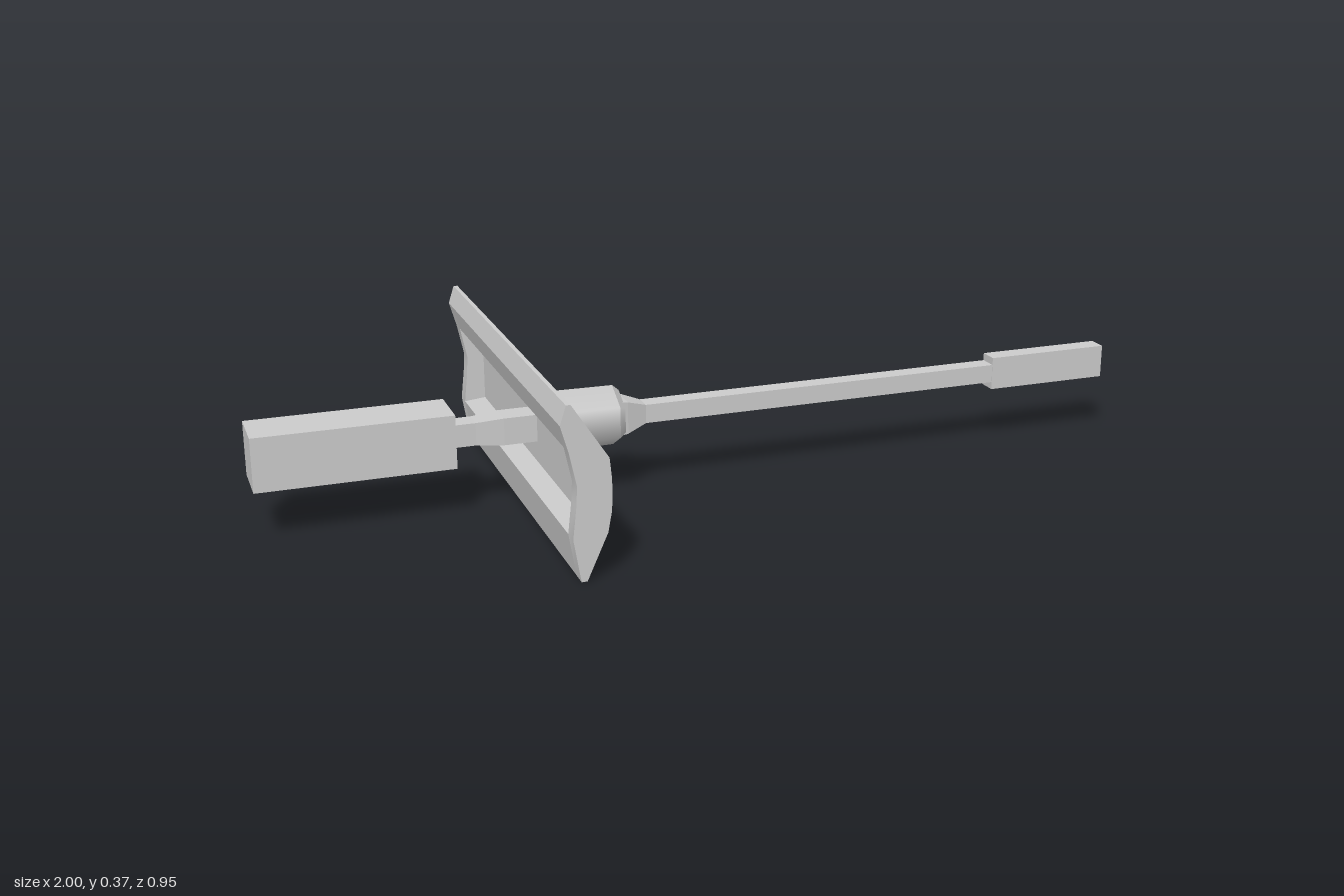
import * as THREE from 'three';
import { toCreasedNormals } from 'three/addons/utils/BufferGeometryUtils.js';

const material = new THREE.MeshStandardMaterial({ color: 0xcccccc });
const AXIS_Y = 0.172;
const AXIS_Z = 0.01;

function mesh(name, geometry, parent) {
  const m = new THREE.Mesh(geometry, material);
  m.name = name;
  parent.add(m);
  return m;
}

// Rectangular bar along x from sections [x, half height, half depth], flat faces
function bar(sections) {
  const rings = sections.map(([x, h, d]) => [[x, h, d], [x, -h, d], [x, -h, -d], [x, h, -d]]);
  const positions = [];
  const quad = (a, b, c, d) => positions.push(...a, ...b, ...c, ...a, ...c, ...d);
  for (let i = 0; i + 1 < rings.length; i++) {
    for (let k = 0; k < 4; k++) {
      const n = (k + 1) % 4;
      quad(rings[i][k], rings[i][n], rings[i + 1][n], rings[i + 1][k]);
    }
  }
  const first = rings[0], last = rings[rings.length - 1];
  quad(first[3], first[2], first[1], first[0]);
  quad(...last);
  const geometry = new THREE.BufferGeometry();
  geometry.setAttribute('position', new THREE.Float32BufferAttribute(positions, 3));
  geometry.computeVertexNormals();
  return geometry;
}

// Outline in x, y pulled along z from z0 to z1
function slab(points, z0, z1) {
  const shape = new THREE.Shape(points.map(([x, y]) => new THREE.Vector2(x, y)));
  const geometry = new THREE.ExtrudeGeometry(shape, { depth: z1 - z0, bevelEnabled: false });
  geometry.translate(0, 0, z0);
  return toCreasedNormals(geometry, 0.35);
}

// Six-sided piece along x with points up and down
function hex(x0, x1, r0, r1, open) {
  const geometry = new THREE.CylinderGeometry(r1, r0, x1 - x0, 6, 1, open);
  geometry.rotateY(Math.PI / 6);
  geometry.rotateZ(-Math.PI / 2);
  geometry.translate((x0 + x1) / 2, 0, 0);
  return geometry;
}

export function createModel() {
  const model = new THREE.Group();
  model.name = 'bladedTool';

  // Blade: bulged face, long shallow pocket in the back, solid ends
  const blade = new THREE.Group();
  blade.name = 'blade';
  model.add(blade);
  const face = [
    [-0.432, 0], [-0.42, 0], [-0.376, 0.097], [-0.368, 0.14],
    [-0.366, 0.175], [-0.367, 0.21], [-0.371, 0.25], [-0.446, 0.365], [-0.455, 0.365],
  ];
  const upperBack = [[-0.468, 0.325], [-0.452, 0.27]];
  const lowerBack = [[-0.447, 0.09]];
  const pocket = [[-0.398, 0.265], [-0.398, 0.095]];
  const plain = [[-0.437, 0.2], [-0.439, 0.16]];
  mesh('bladeBody', slab([...face, ...upperBack, ...pocket, ...lowerBack], -0.44, 0.44), blade);
  for (const side of [-1, 1]) {
    const z = [0.44 * side, 0.475 * side].sort((a, b) => a - b);
    mesh('bladeEnd', slab([...face, ...upperBack, ...plain, ...lowerBack], z[0], z[1]), blade);
  }

  // Everything on the shaft shares one axis
  const shaft = new THREE.Group();
  shaft.name = 'shaft';
  shaft.position.set(0, AXIS_Y, AXIS_Z);
  model.add(shaft);

  mesh('handle', bar([[-1, 0.059, 0.059], [-0.58, 0.059, 0.059]]), shaft);
  mesh('handleNeck', bar([[-0.58, 0.025, 0.024], [-0.53, 0.025, 0.024], [-0.47, 0.03, 0.03], [-0.385, 0.03, 0.03]]), shaft);

  // Hexagonal collar with a chamfered outer end
  mesh('collar', hex(-0.385, -0.22, 0.07, 0.068, true), shaft);
  mesh('collarChamfer', hex(-0.22, -0.205, 0.068, 0.055, false), shaft);

  // Flared rod
  mesh('rod', bar([[-0.21, 0.038, 0.036], [-0.195, 0.036, 0.034], [-0.15, 0.021, 0.021], [0.71, 0.021, 0.021]]), shaft);

  // Grip with a rounded hollow in its end, closed by thin cheeks
  const grip = [[0.705, 0.038], [0.705, -0.038], [1, -0.038]];
  for (let i = 0; i <= 12; i++) {
    const a = -Math.PI / 2 + (Math.PI * i) / 12;
    grip.push([1 - 0.02 * Math.cos(a), 0.034 * Math.sin(a)]);
  }
  grip.push([1, 0.038]);
  mesh('grip', slab(grip, -0.018, 0.018), shaft);
  for (const side of [-1, 1]) {
    const cheek = mesh('gripCheek', new THREE.BoxGeometry(0.295, 0.076, 0.004), shaft);
    cheek.position.set(0.8525, 0, side * 0.02);
  }

  return model;
}
